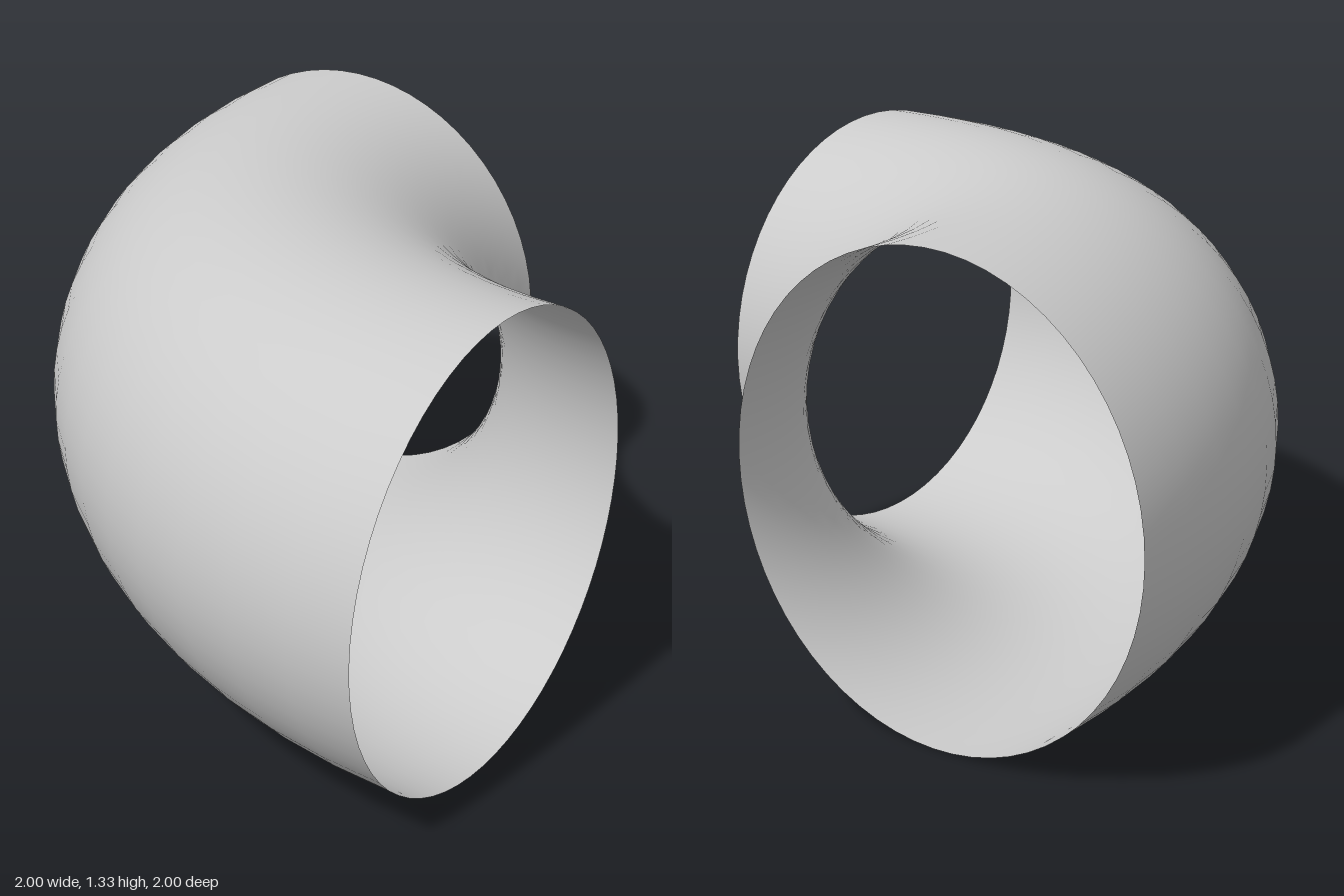
import * as THREE from 'three';

export function createModel() {
  const group = new THREE.Group();
  group.name = 'pipeElbow';

  const tubeRadius = 2 / 3;
  const bendRadius = 4 / 3;

  // Open quarter bend lying flat, curving from the back opening to the left opening
  const geometry = new THREE.TorusGeometry(bendRadius, tubeRadius, 64, 16, Math.PI / 2);
  geometry.rotateX(Math.PI / 2);
  geometry.rotateY(-Math.PI / 2);
  geometry.translate(1, tubeRadius, -1);

  // Thin shell, visible inside and out
  const material = new THREE.MeshStandardMaterial({ color: 0xcccccc, side: THREE.DoubleSide });
  const elbow = new THREE.Mesh(geometry, material);
  elbow.name = 'elbowShell';
  group.add(elbow);

  return group;
}
